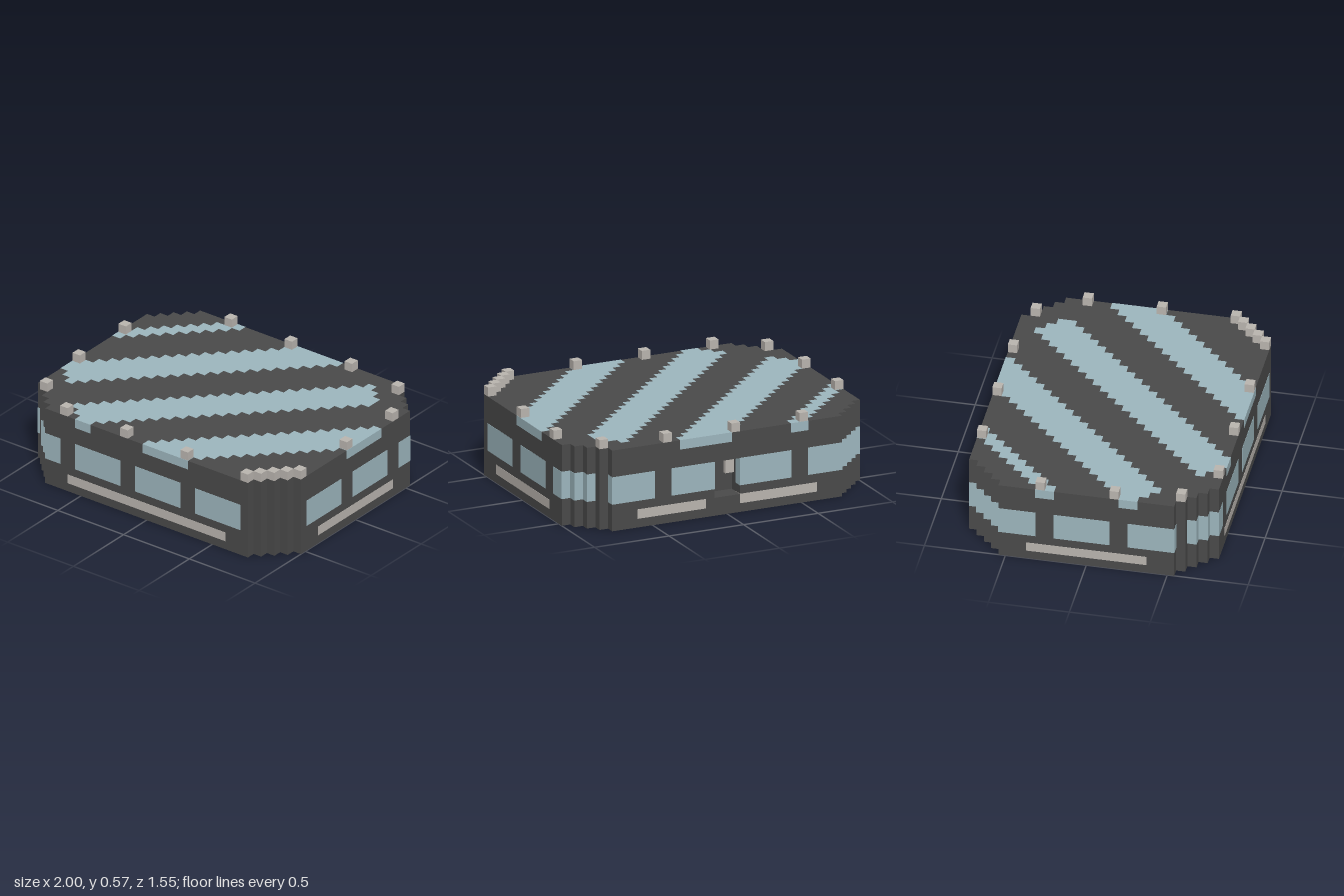
import * as THREE from 'three';
import { mergeGeometries } from 'three/addons/utils/BufferGeometryUtils.js';

// Block grid: NX x NZ cells of size V, walls 9 cells high
const NX = 35, NZ = 27, V = 2 / 35, E = 0.0015;
const X = (i) => (i - NX / 2) * V;
const Z = (k) => (k - NZ / 2) * V;
const DOOR = [16, 19], DOOR_DEPTH = 2;

// Cells cut from each end of a row to form the stepped corners
const inset = (k) => Math.max(0, 4 - k, k - (NZ - 5));
const isRim = (i, k) => k === 0 || k === NZ - 1 || i === inset(k) || i === NX - 1 - inset(k);
const inDoor = (i, k) => k < DOOR_DEPTH && i >= DOOR[0] && i < DOOR[1];

// Box spanning grid cells, enlarged by e so painted cells sit just proud
function block(i0, i1, j0, j1, k0, k1, e = E) {
  const g = new THREE.BoxGeometry((i1 - i0) * V + 2 * e, (j1 - j0) * V + 2 * e, (k1 - k0) * V + 2 * e);
  return g.translate(X((i0 + i1) / 2), (j0 + j1) / 2 * V, Z((k0 + k1) / 2));
}

// One block for every run of neighbouring cells in a row that pass the test
function runs(test, j0, j1) {
  const out = [];
  for (let k = 0; k < NZ; k++) {
    let start = -1;
    for (let i = inset(k); i <= NX - inset(k); i++) {
      const on = i < NX - inset(k) && test(i, k);
      if (on && start < 0) start = i;
      if (!on && start >= 0) {
        out.push(block(start, i, j0, j1, k, k + 1));
        start = -1;
      }
    }
  }
  return out;
}

// Horizontal layer with stepped corners, optionally notched for the doorway
function layer(j0, j1, notched) {
  const pts = [];
  const add = (i, k) => pts.push(new THREE.Vector2(X(i), -Z(k)));
  for (let k = 0; k < NZ; k++) {
    add(NX - inset(k), k);
    add(NX - inset(k), k + 1);
  }
  for (let k = NZ - 1; k >= 0; k--) {
    add(inset(k), k + 1);
    add(inset(k), k);
  }
  if (notched) {
    add(DOOR[0], 0);
    add(DOOR[0], DOOR_DEPTH);
    add(DOOR[1], DOOR_DEPTH);
    add(DOOR[1], 0);
  }
  const g = new THREE.ExtrudeGeometry(new THREE.Shape(pts), { depth: (j1 - j0) * V, bevelEnabled: false });
  return g.rotateX(-Math.PI / 2).translate(0, j0 * V, 0);
}

export function createModel() {
  const mat = (name, color) => {
    const m = new THREE.MeshStandardMaterial({ color });
    m.name = name;
    return m;
  };
  const charcoal = mat('charcoal', 0x4a4a4a);
  const glass = mat('paleBlueGlass', 0x9db6be);
  const stone = mat('warmGrey', 0xbab5af);

  const model = new THREE.Group();
  const part = (name, geometries, material) => {
    const mesh = new THREE.Mesh(mergeGeometries(geometries), material);
    mesh.name = name;
    model.add(mesh);
  };

  // Walls in three layers, the middle one open at the back door
  part('base', [layer(0, 2, false)], charcoal);
  part('walls', [layer(2, 6, true)], charcoal);
  part('roof', [layer(6, 9, false)], charcoal);

  // Windows: six cells of glass then two of wall, wrapping round the corners
  part('windows', runs((i, k) => isRim(i, k) && !inDoor(i, k) && (i + k) % 8 >= 2, 3, 6), glass);

  // Diagonal roof glazing, kept clear of the stepped corners
  const glazed = (i, k) => {
    const s = (i + k) % 13;
    const d = i - k;
    return s >= 4 && s <= 9 && d >= -18 && d <= 26 && i + k >= 8 && i + k <= 52;
  };
  part('roofGlazing', runs(glazed, 8, 9), glass);

  // Trim bars low on every wall, interrupted under the door
  part('trimBars', [
    block(7, 28, 1, 2, NZ - 1, NZ),
    block(7, 16, 1, 2, 0, 1),
    block(20, 28, 1, 2, 0, 1),
    block(0, 1, 1, 2, 7, 20),
    block(NX - 1, NX, 1, 2, 7, 20),
  ], stone);

  // Parapet posts on every eighth diagonal of the rim
  const posts = [];
  for (let k = 0; k < NZ; k++) {
    for (let i = inset(k); i < NX - inset(k); i++) {
      if (isRim(i, k) && (i + k) % 8 === 0) posts.push(block(i, i + 1, 9, 10, k, k + 1, 0));
    }
  }
  part('parapetPosts', posts, stone);

  // Small fitting inside the doorway
  part('doorFitting', [block(16, 17, 4, 6, 1.5, 2, 0)], stone);

  return model;
}
